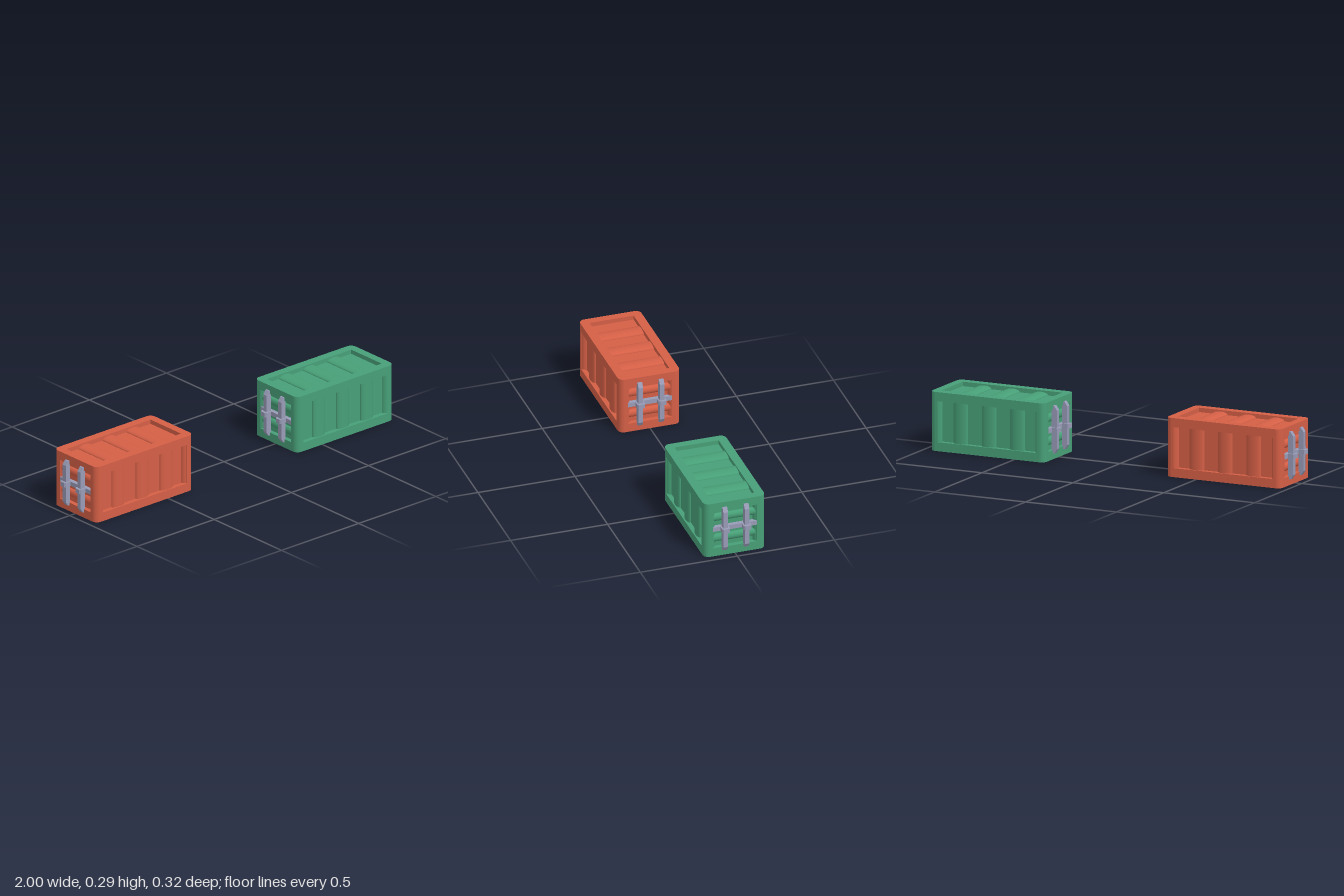
import * as THREE from 'three';

const L = 0.315, W = 0.158, H = 0.295; // half length, half width, height
const D = 0.024, R = 0.03;             // recess depth, corner radius
const Y0 = 0.045, Y1 = 0.25;           // side opening
const PX = 0.273, PZ = 0.113;          // half sizes of the openings

const steel = new THREE.MeshStandardMaterial({ color: 0x989bb6 });
steel.name = 'steel';

function add(parent, name, geometry, material) {
  const mesh = new THREE.Mesh(geometry, material);
  mesh.name = name;
  parent.add(mesh);
  return mesh;
}

function rect(Type, x0, y0, x1, y1) {
  return new Type([[x0, y0], [x1, y0], [x1, y1], [x0, y1]].map(p => new THREE.Vector2(...p)));
}

function extrude(shape, depth) {
  return new THREE.ExtrudeGeometry(shape, { depth, bevelEnabled: false, curveSegments: 5 });
}

// Upright wall frame with a rectangular opening, outer face at z = out
function wallFrame(halfWidth, halfOpening, out) {
  const shape = rect(THREE.Shape, -halfWidth, 0, halfWidth, H - D);
  shape.holes.push(rect(THREE.Path, -halfOpening, Y0, halfOpening, Y1));
  return extrude(shape, D).translate(0, 0, out - D);
}

// Top frame with rounded corners
function roofFrame() {
  const s = new THREE.Shape(), q = Math.PI / 2;
  s.absarc(L - R, W - R, R, 0, q);
  s.absarc(-L + R, W - R, R, q, 2 * q);
  s.absarc(-L + R, -W + R, R, 2 * q, 3 * q);
  s.absarc(L - R, -W + R, R, 3 * q, 4 * q);
  s.closePath();
  s.holes.push(rect(THREE.Path, -PX, -PZ, PX, PZ));
  return extrude(s, D).rotateX(-q).translate(0, H - D, 0);
}

// Rounded corrugation: runs along y, bulges toward +z
function ribGeometry(width, length, height) {
  return new THREE.CylinderGeometry(1, 1, length, 12, 1, true, -Math.PI / 2, Math.PI)
    .scale(width / 2, 1, height);
}

// Locking hardware, built for the +x end
function lockGear(parent) {
  const gear = new THREE.Group();
  gear.name = 'lockGear';
  parent.add(gear);
  const midY = 0.148;
  add(gear, 'crossBar', new THREE.BoxGeometry(0.022, 0.023, 2 * PZ), steel)
    .position.set(L - 0.012, midY, 0);
  const rod = new THREE.Shape([[L - 0.006, 0.03], [L + 0.008, 0.03], [L + 0.022, 0.052],
    [L + 0.022, 0.246], [L + 0.008, 0.268], [L - 0.006, 0.268]].map(p => new THREE.Vector2(...p)));
  const clasp = new THREE.Shape([[L - 0.02, -0.02], [L + 0.028, -0.02], [L + 0.035, -0.013],
    [L + 0.035, 0.013], [L + 0.028, 0.02], [L - 0.02, 0.02]].map(p => new THREE.Vector2(...p)));
  for (const z of [-0.055, 0.055]) {
    add(gear, 'lockRod', extrude(rod, 0.024).translate(0, 0, -0.012), steel).position.z = z;
    add(gear, 'clasp', extrude(clasp, 0.023).rotateX(-Math.PI / 2), steel)
      .position.set(0, midY - 0.0115, z);
  }
  return gear;
}

function container(name, paint) {
  const g = new THREE.Group();
  g.name = name;
  // Inner box forms the recessed panels
  add(g, 'core', new THREE.BoxGeometry(2 * (L - D), H - D - 0.002, 2 * (W - D)), paint)
    .position.y = (H - D + 0.002) / 2;
  add(g, 'roofPanel', new THREE.BoxGeometry(2 * PX, 0.004, 2 * PZ), paint).position.y = H - D;
  add(g, 'roofFrame', roofFrame(), paint);
  // Floor plate closes the base
  add(g, 'floor', new THREE.BoxGeometry(2 * (L - R), 0.01, 2 * (W - D)), paint).position.y = 0.005;

  // Rounded corner posts
  for (const x of [-1, 1]) for (const z of [-1, 1]) {
    add(g, 'cornerPost', new THREE.CylinderGeometry(R, R, H - D, 20), paint)
      .position.set(x * (L - R), (H - D) / 2, z * (W - R));
  }

  const ribLen = Y1 - Y0, midY = (Y0 + Y1) / 2;
  for (const turn of [0, Math.PI]) {
    // Long side with upright ribs
    const side = new THREE.Group();
    side.name = 'longSide';
    side.rotation.y = turn;
    add(side, 'sideFrame', wallFrame(L - R, PX, W), paint);
    for (const x of [-0.156, 0, 0.156]) {
      add(side, 'sideRib', ribGeometry(0.08, ribLen, 0.017), paint).position.set(x, midY, W - D);
    }
    // Short end with level ribs and locks
    const end = new THREE.Group();
    end.name = 'shortEnd';
    end.rotation.y = turn;
    add(end, 'endFrame', wallFrame(W - R, PZ, L).rotateY(Math.PI / 2), paint);
    for (const y of [0.091, 0.206]) {
      add(end, 'endRib', ribGeometry(0.042, 2 * PZ, 0.017).rotateZ(Math.PI / 2)
        .rotateY(Math.PI / 2), paint).position.set(L - D, y, 0);
    }
    lockGear(end);
    g.add(side, end);
  }

  // Roof ribs
  for (const x of [-0.156, 0, 0.156]) {
    add(g, 'roofRib', ribGeometry(0.08, 2 * PZ, 0.015).rotateX(-Math.PI / 2), paint)
      .position.set(x, H - D + 0.002, 0);
  }
  return g;
}

export function createModel() {
  const red = new THREE.MeshStandardMaterial({ color: 0xd45f46 });
  red.name = 'redPaint';
  const green = new THREE.MeshStandardMaterial({ color: 0x479f77 });
  green.name = 'greenPaint';
  const model = new THREE.Group();
  model.name = 'shippingContainers';
  const a = container('redContainer', red);
  a.position.x = -0.65;
  const b = container('greenContainer', green);
  b.position.x = 0.65;
  model.add(a, b);
  return model;
}
